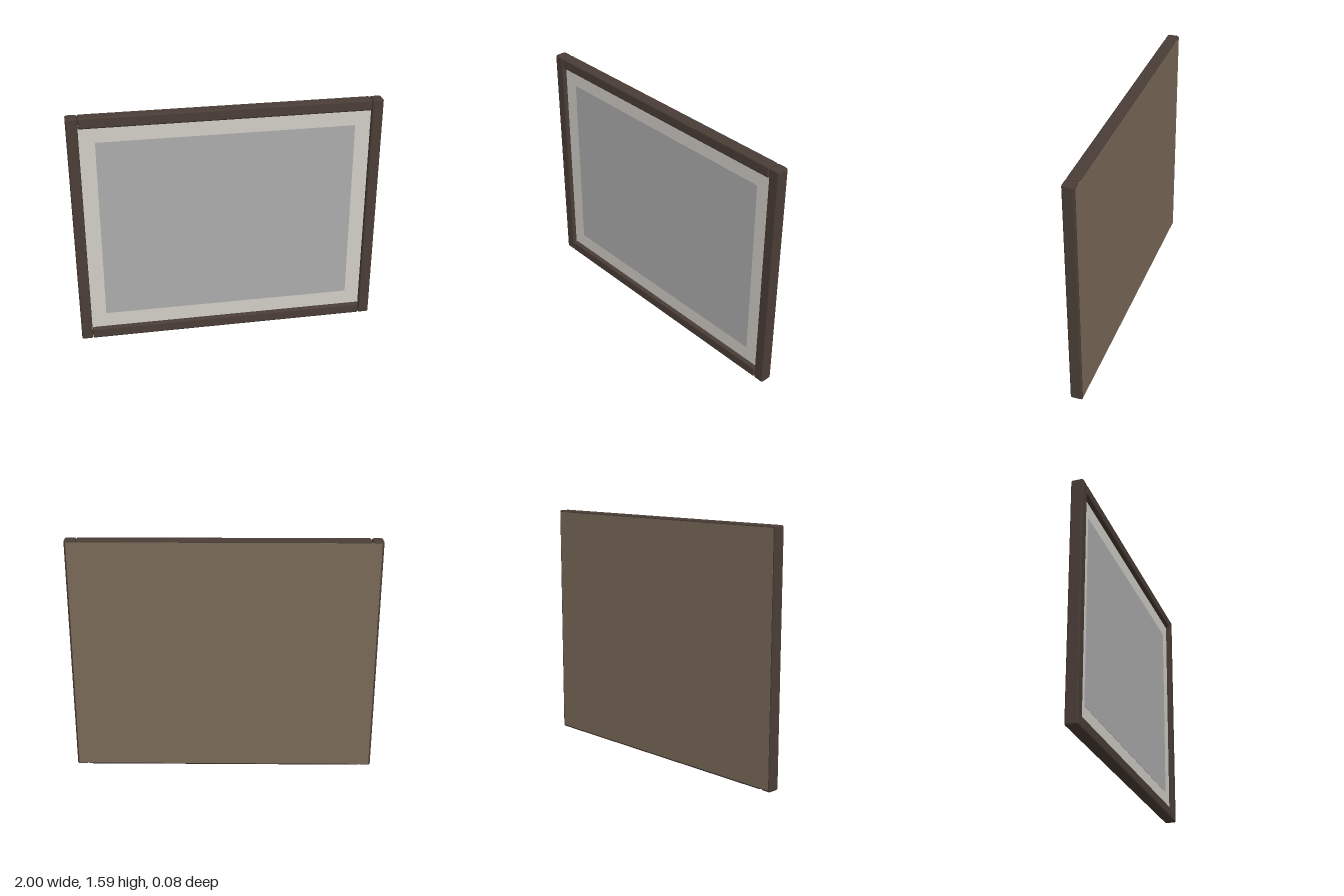
import * as THREE from 'three';
import { RoundedBoxGeometry } from 'three/addons/geometries/RoundedBoxGeometry.js';

const W = 2, H = 1.59, D = 0.08, BAR = 0.073;

function material(name, color) {
  const m = new THREE.MeshStandardMaterial({ color });
  m.name = name;
  return m;
}

export function createModel() {
  const model = new THREE.Group();
  model.name = 'pictureFrame';

  const wood = material('darkWood', 0x4a3d36);
  const mat = material('matBoard', 0xd2cfc8);
  const print = material('greyPrint', 0xadadad);
  const board = material('backingBoard', 0x7b6b59);

  const add = (name, geometry, mat, x, y, z) => {
    const mesh = new THREE.Mesh(geometry, mat);
    mesh.name = name;
    mesh.position.set(x, y, z);
    model.add(mesh);
  };

  // Frame: full-height stiles with rails butted between them
  const stile = new RoundedBoxGeometry(BAR, H, D, 2, 0.012);
  const rail = new RoundedBoxGeometry(W - 2 * BAR - 0.002, BAR, D, 2, 0.012);
  add('leftStile', stile, wood, W / 2 - BAR / 2, H / 2, 0);
  add('rightStile', stile, wood, -W / 2 + BAR / 2, H / 2, 0);
  add('topRail', rail, wood, 0, H - BAR / 2, 0);
  add('bottomRail', rail, wood, 0, BAR / 2, 0);

  // Recessed mat and the print lying on it
  add('mat', new THREE.BoxGeometry(W - 1.6 * BAR, H - 1.6 * BAR, 0.02), mat, 0, H / 2, 0.002);
  add('print', new THREE.BoxGeometry(1.655, 1.24, 0.004), print, 0, H / 2, 0.012);

  // Backing board, just proud of the frame's back
  add('backingBoard', new THREE.BoxGeometry(1.975, 1.565, 0.02), board, 0, H / 2, -D / 2 + 0.009);

  return model;
}
